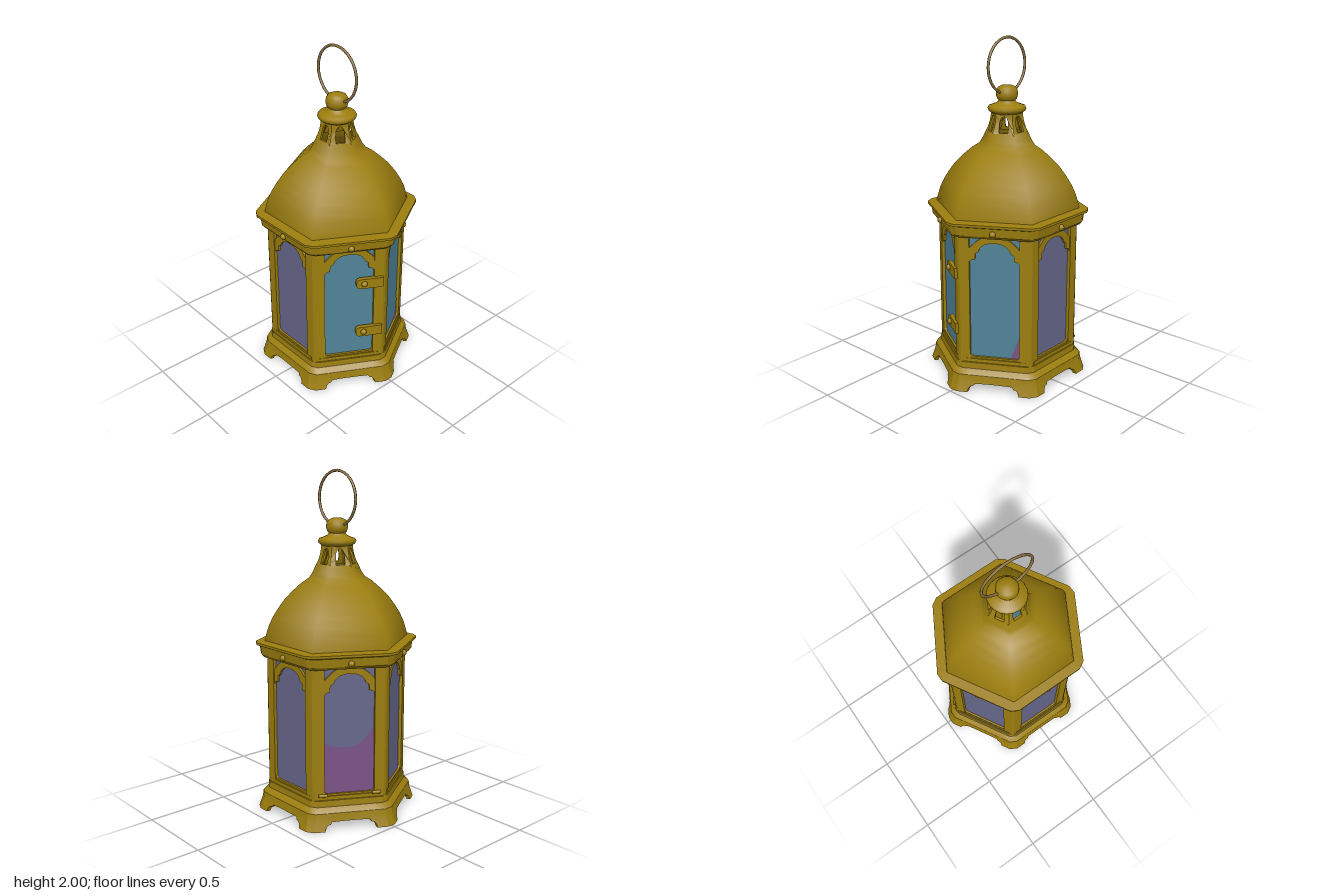
import * as THREE from 'three';
import { toCreasedNormals } from 'three/addons/utils/BufferGeometryUtils.js';

const mat = (name, color, side = THREE.FrontSide) => {
  const m = new THREE.MeshStandardMaterial({ color, side });
  m.name = name;
  return m;
};
const V = (pts) => pts.map(([x, y]) => new THREE.Vector2(x, y));

// Sheet running round a hexagon with clipped corners. cols: [u, extra] along one side,
// rows(extra): profile of [apothem, y], listed so that the outside is to the right.
function hexSheet(cols, rows) {
  const ring = [];
  for (let k = 0; k < 6; k++) {
    const phi = Math.PI / 6 + (k * Math.PI) / 3, s = Math.sin(phi), c = Math.cos(phi);
    for (const [u, extra] of cols) {
      ring.push(rows(extra).map(([a, y]) => [a * (s + u * c), y, a * (c - u * s)]));
    }
  }
  const pos = [];
  ring.forEach((A, i) => {
    const B = ring[(i + 1) % ring.length];
    for (let j = 0; j < A.length - 1; j++) {
      pos.push(...A[j], ...B[j], ...A[j + 1], ...B[j + 1], ...A[j + 1], ...B[j]);
    }
  });
  const g = new THREE.BufferGeometry();
  g.setAttribute('position', new THREE.Float32BufferAttribute(pos, 3));
  return toCreasedNormals(g, 0.45);
}

export function createModel() {
  const brass = mat('brass', 0x9c7e0e, THREE.DoubleSide);
  const bronze = mat('ringBronze', 0x8a7040);
  const teal = mat('tealGlass', 0x508499, THREE.DoubleSide);
  const lilac = mat('lilacGlass', 0x67688c, THREE.DoubleSide);
  const pink = mat('pinkGlass', 0x7a5388, THREE.DoubleSide);

  const model = new THREE.Group();
  model.name = 'lantern';
  const add = (parent, name, geo, material, x = 0, y = 0, z = 0) => {
    const m = new THREE.Mesh(geo, material);
    m.name = name;
    m.position.set(x, y, z);
    parent.add(m);
    return m;
  };

  // Hollow base with scalloped feet
  const half = [[0.508, 0], [0.36, 0], [0.35, 0.02], [0.325, 0.034], [0.29, 0.036], [0.27, 0.05], [0.1, 0.052]];
  const feet = [...half.map(([u, y]) => [-u, y]), ...half.slice().reverse()];
  add(model, 'base', hexSheet(feet, (yb) => {
    const a = 0.425 - yb * 0.33;
    return [[0.001, 0.14], [0.355, 0.14], [0.385, 0.07], [a - 0.02, yb], [a, yb], [0.405, 0.065],
      [0.401, 0.1], [0.385, 0.118], [0.373, 0.128], [0.37, 0.165], [0.35, 0.17], [0.3, 0.17]];
  }), brass);

  // Moulded rim under the roof
  const clipped = [[-0.508], [0.508]];
  add(model, 'rim', hexSheet(clipped, () => [[0.3, 0.935], [0.388, 0.935], [0.4, 0.95], [0.406, 1.0],
    [0.425, 1.008], [0.425, 1.022], [0.36, 1.028]]), brass);

  // Six-sided dome
  const dome = [[0.37, 1.02], [0.366, 1.05], [0.35, 1.11], [0.33, 1.16], [0.303, 1.21], [0.268, 1.265],
    [0.225, 1.315], [0.18, 1.36], [0.142, 1.388], [0.124, 1.42], [0.106, 1.465]];
  add(model, 'dome', new THREE.LatheGeometry(V(dome.map(([a, y]) => [a / 0.866, y])), 6), brass);

  // Window frame: arched opening and two spandrel openings
  const frame = new THREE.Shape(V([[-0.203, 0.15], [0.203, 0.15], [0.203, 0.945], [-0.203, 0.945]]));
  const arch = new THREE.Path();
  arch.moveTo(-0.12, 0.2);
  arch.lineTo(0.12, 0.2);
  arch.quadraticCurveTo(0.145, 0.2, 0.145, 0.225);
  arch.lineTo(0.145, 0.77);
  arch.quadraticCurveTo(0.14, 0.8, 0.112, 0.8);
  arch.lineTo(0.11, 0.835);
  arch.lineTo(0.092, 0.845);
  arch.quadraticCurveTo(0.075, 0.9, 0, 0.9);
  arch.quadraticCurveTo(-0.075, 0.9, -0.092, 0.845);
  arch.lineTo(-0.11, 0.835);
  arch.lineTo(-0.112, 0.8);
  arch.quadraticCurveTo(-0.14, 0.8, -0.145, 0.77);
  arch.lineTo(-0.145, 0.225);
  arch.quadraticCurveTo(-0.145, 0.2, -0.12, 0.2);
  frame.holes.push(arch);
  for (const s of [-1, 1]) {
    frame.holes.push(new THREE.Path(V([[s * 0.145, 0.937], [s * 0.06, 0.937], [s * 0.105, 0.905], [s * 0.145, 0.865]])));
  }
  const frameGeo = new THREE.ExtrudeGeometry(frame, { depth: 0.022, bevelEnabled: false, curveSegments: 8 });

  // Folded corner post, drawn in plan with its ridge towards +z
  const R = 0.42, arm = 0.066;
  const ax = arm * 0.866, az = arm * 0.5;
  const post = new THREE.Shape(V([[0.008, R - 0.006], [-0.008, R - 0.006], [-ax, R - az], [-ax + 0.012, R - az - 0.022],
    [0, R - 0.028], [ax - 0.012, R - az - 0.022], [ax, R - az]]));
  const postGeo = new THREE.ExtrudeGeometry(post, { depth: 0.785, bevelEnabled: false });
  postGeo.rotateX(Math.PI / 2);

  // Pierced neck panel, tapered upwards by a rule
  const outline = [];
  for (let i = 0; i <= 5; i++) outline.push([0.577, 1.45 + i * 0.026]);
  for (let i = 5; i >= 0; i--) outline.push([-0.577, 1.45 + i * 0.026]);
  const neck = new THREE.Shape(V(outline));
  neck.holes.push(new THREE.Path(V([[-0.25, 1.468], [0.25, 1.468], [0.28, 1.49], [0.28, 1.53], [0.18, 1.552],
    [0, 1.56], [-0.18, 1.552], [-0.28, 1.53], [-0.28, 1.49]])));
  const neckGeo = new THREE.ExtrudeGeometry(neck, { depth: 1, bevelEnabled: false });
  const p = neckGeo.attributes.position;
  for (let i = 0; i < p.count; i++) {
    const a = 0.08 + 0.027 * ((1.58 - p.getY(i)) / 0.12) ** 2;
    p.setXYZ(i, p.getX(i) * a, p.getY(i), a - 0.014 * (1 - p.getZ(i)));
  }
  neckGeo.computeVertexNormals();

  const paneGeo = new THREE.PlaneGeometry(0.37, 0.78);
  const rivetGeo = new THREE.SphereGeometry(0.018, 12, 8);
  const glass = [teal, lilac, lilac, lilac, lilac, teal];

  // Six sides, starting at the front left one and going round
  for (let k = 0; k < 6; k++) {
    const side = new THREE.Group();
    side.name = 'side' + (k + 1);
    side.rotation.y = Math.PI / 6 + (k * Math.PI) / 3;
    model.add(side);
    add(side, 'windowFrame', frameGeo, brass, 0, 0, 0.336);
    add(side, 'glassPane', paneGeo, glass[k], 0, 0.55, 0.345);
    add(side, 'neckPanel', neckGeo, brass);
    add(side, 'rimRivet', rivetGeo, brass, 0, 0.968, 0.404);
    add(side, 'bottomRail', new THREE.BoxGeometry(0.36, 0.022, 0.02), brass, 0, 0.178, 0.355);
    add(side, 'cornerPost', postGeo, brass, 0, 0.94, 0).rotation.y = Math.PI / 6;

    if (k === 0) {
      // Pink tint in the lower corner
      const tint = new THREE.Shape(V([[0.09, 0.195], [0.15, 0.195], [0.15, 0.36]]));
      add(side, 'pinkCorner', new THREE.ShapeGeometry(tint), pink, 0, 0, 0.348);
    }
    if (k === 2) {
      // Pink lower part of the pane and two small pins
      const tint = new THREE.Shape(V([[-0.15, 0.195], [0.15, 0.195], [0.15, 0.62]]));
      tint.quadraticCurveTo(0.08, 0.4, -0.15, 0.5);
      add(side, 'pinkPane', new THREE.ShapeGeometry(tint), pink, 0, 0, 0.348);
      for (const s of [-1, 1]) {
        const pin = add(side, 'pin', new THREE.CylinderGeometry(0.01, 0.01, 0.05, 8), brass, s * 0.155, 0.195, 0.37);
        pin.rotation.z = Math.PI / 2;
      }
    }
    if (k === 5) {
      // Door hinges with round ends
      const strap = new THREE.Shape();
      strap.moveTo(0.195, 0.032);
      strap.lineTo(0.06, 0.032);
      strap.quadraticCurveTo(0.037, 0.03, 0.037, 0);
      strap.quadraticCurveTo(0.037, -0.03, 0.06, -0.032);
      strap.lineTo(0.195, -0.032);
      const strapGeo = new THREE.ExtrudeGeometry(strap, { depth: 0.024, bevelEnabled: false });
      for (const y of [0.705, 0.365]) {
        add(side, 'hinge', strapGeo, brass, 0, y, 0.356);
        add(side, 'hingeRivet', rivetGeo, brass, 0.083, y, 0.38);
      }
    }
  }

  // Round collar, knob and carrying ring
  add(model, 'collar', new THREE.LatheGeometry(V([[0.001, 1.57], [0.085, 1.57], [0.105, 1.583], [0.111, 1.597],
    [0.104, 1.61], [0.075, 1.62], [0.055, 1.63], [0.046, 1.645]]), 20), brass);
  add(model, 'knob', new THREE.LatheGeometry(V([[0.04, 1.635], [0.056, 1.65], [0.063, 1.67], [0.062, 1.695],
    [0.052, 1.714], [0.03, 1.725], [0.001, 1.728]]), 20), brass);
  const ring = add(model, 'carryingRing', new THREE.TorusGeometry(0.156, 0.008, 8, 32), bronze, 0, 1.836, 0);
  ring.rotation.y = Math.PI / 2;

  return model;
}
